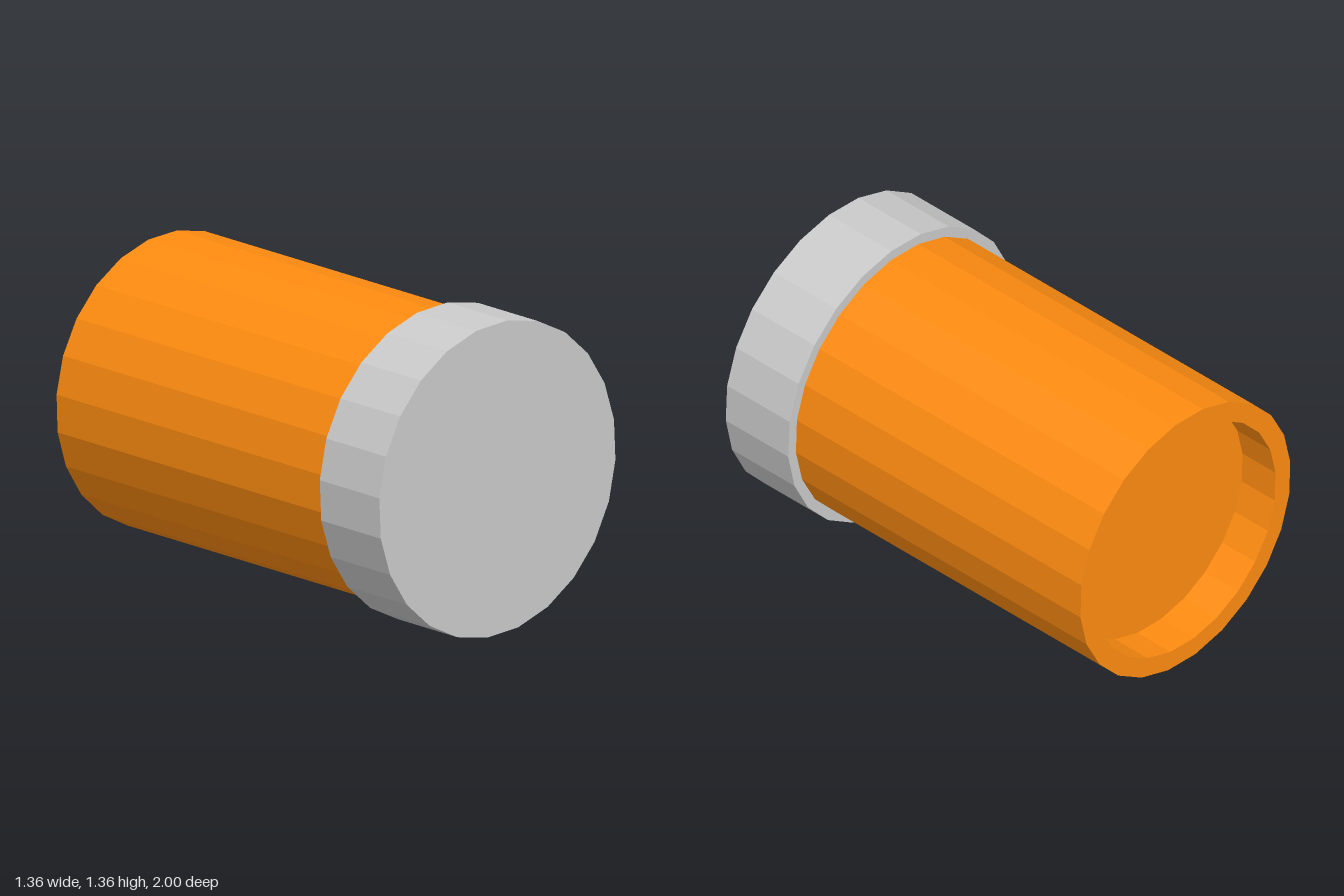
import * as THREE from 'three';

const SIDES = 24;
const AXIS_Y = 0.68;

// Faceted part turned around the z axis; profile is [radius, z] from back to front
function turned(name, profile, color, twist) {
  const points = profile.map(([r, z]) => new THREE.Vector2(r, z));
  const geometry = new THREE.LatheGeometry(points, SIDES, -THREE.MathUtils.degToRad(twist));
  geometry.rotateX(Math.PI / 2);
  const material = new THREE.MeshStandardMaterial({ color, flatShading: true });
  const mesh = new THREE.Mesh(geometry, material);
  mesh.name = name;
  mesh.position.y = AXIS_Y;
  return mesh;
}

export function createModel() {
  const model = new THREE.Group();
  model.name = 'cappedCylinder';

  // Body with a shallow recess in its back end
  const body = turned('body', [
    [0, -0.81], [0.545, -0.81], [0.545, -1], [0.634, -1], [0.634, 0.64],
  ], 0xff8c10, 5.5);

  // Wider solid cap on the front end
  const cap = turned('frontCap', [
    [0, 0.64], [0.68, 0.64], [0.68, 1], [0, 1],
  ], 0xcccccc, 4.8);

  model.add(body, cap);
  return model;
}
